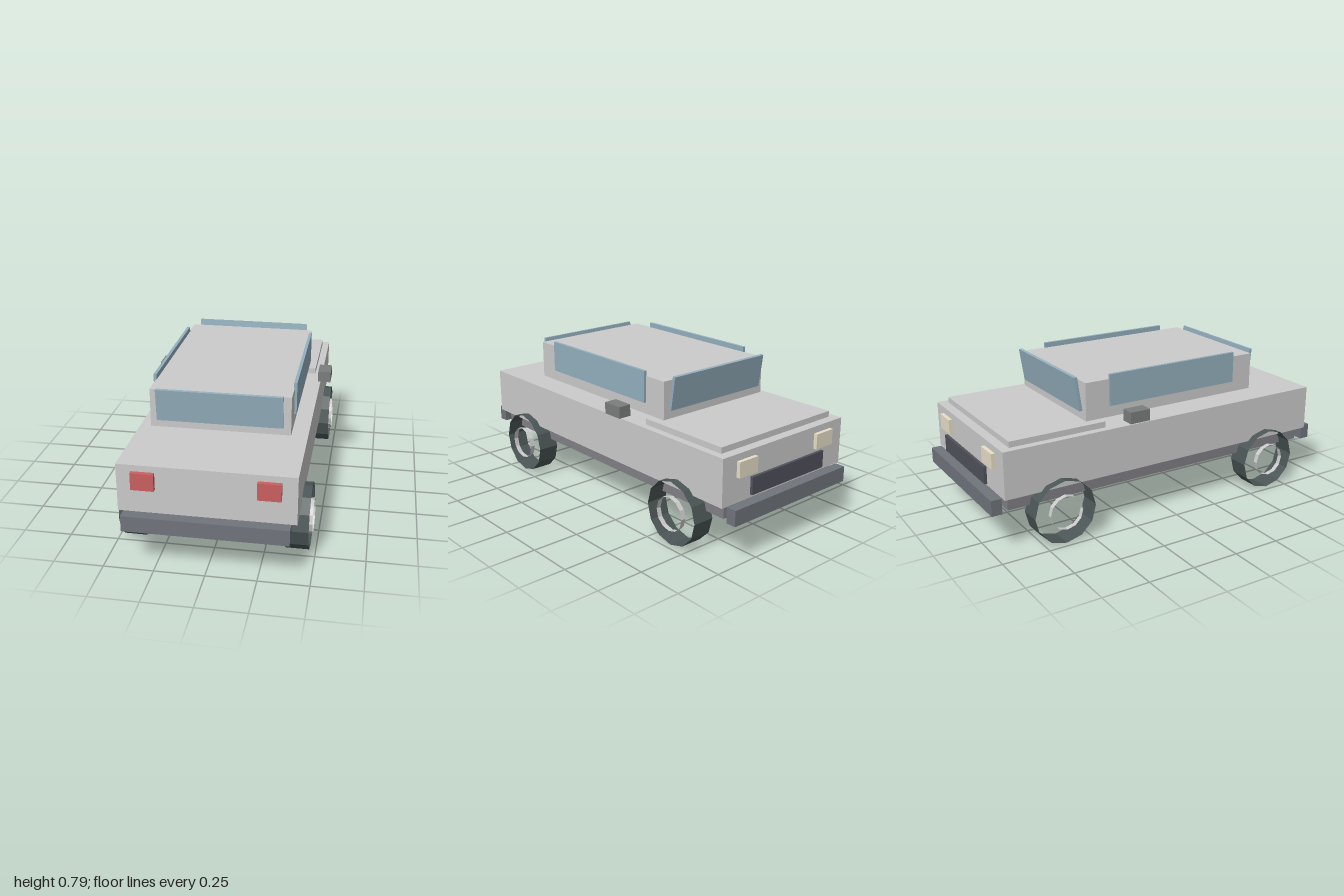
import * as THREE from 'three';

const mat = (color, side = THREE.FrontSide) =>
  new THREE.MeshStandardMaterial({ color, side, flatShading: true });

export function createModel() {
  const car = new THREE.Group();
  car.name = 'car';

  const paint = mat(0xcccccc);
  const trim = mat(0x70747c);
  const glass = mat(0x94b0be);
  const red = mat(0xcc6060);
  const lamp = mat(0xe8dfc8);
  const grilleMat = mat(0x50525c);
  const mirrorMat = mat(0x7a7e7c);
  const tyreMat = mat(0x4c5656, THREE.DoubleSide);
  const hubMat = mat(0xcccccc, THREE.DoubleSide);

  // Box given by its limits on each axis
  function box(name, [x0, x1], [y0, y1], [z0, z1], material) {
    const mesh = new THREE.Mesh(new THREE.BoxGeometry(x1 - x0, y1 - y0, z1 - z0), material);
    mesh.position.set((x0 + x1) / 2, (y0 + y1) / 2, (z0 + z1) / 2);
    mesh.name = name;
    car.add(mesh);
    return mesh;
  }

  // Open-ended twelve-sided ring lying along x
  function ring(name, radius, x0, x1, z, material) {
    const geometry = new THREE.CylinderGeometry(radius, radius, Math.abs(x1 - x0), 12, 1, true);
    geometry.rotateZ(Math.PI / 2);
    const mesh = new THREE.Mesh(geometry, material);
    mesh.position.set((x0 + x1) / 2, 0.167, z);
    mesh.name = name;
    car.add(mesh);
  }

  // Body, underside, cabin and raised panel
  box('body', [-0.427, 0.427], [0.285, 0.53], [-0.94, 0.94], paint);
  box('chassis', [-0.384, 0.384], [0.21, 0.285], [-0.91, 0.91], mat(0x808086));
  box('cabin', [-0.35, 0.35], [0.566, 0.764], [-0.455, 0.577], paint);
  box('hood', [-0.388, 0.388], [0.53, 0.561], [-0.89, -0.367], paint);

  // Bumpers and grille
  box('bumper', [-0.4, 0.4], [0.206, 0.287], [0.945, 1], trim);
  box('bumper', [-0.4, 0.4], [0.206, 0.287], [-1, -0.945], trim);
  box('grille', [-0.257, 0.257], [0.313, 0.403], [-0.97, -0.955], grilleMat);

  // End windows, leaning outward at the top
  const rearGlass = box('windowPane', [-0.313, 0.313], [0.61, 0.777], [0.592, 0.608], glass);
  rearGlass.rotation.x = 0.1;
  const windscreen = box('windscreen', [-0.315, 0.315], [0.611, 0.79], [-0.484, -0.468], glass);
  windscreen.rotation.x = -0.15;

  for (const s of [-1, 1]) {
    const span = (a, b) => (s > 0 ? [a, b] : [-b, -a]);
    box('sideWindow', span(0.346, 0.362), [0.626, 0.791], [-0.322, 0.45], glass);
    box('mirror', span(0.418, 0.488), [0.56, 0.62], [-0.28, -0.167], mirrorMat);
    box('redLight', span(0.242, 0.354), [0.411, 0.498], [0.938, 0.963], red);
    box('headlight', span(0.214, 0.336), [0.415, 0.495], [-0.96, -0.938], lamp);

    // Wheels: hollow tyre with a narrow hub ring on the outer side
    for (const z of [-0.64, 0.64]) {
      ring('tyre', 0.167, s * 0.352, s * 0.47, z, tyreMat);
      ring('hub', 0.089, s * 0.455, s * 0.481, z, hubMat);
    }
  }
  return car;
}
